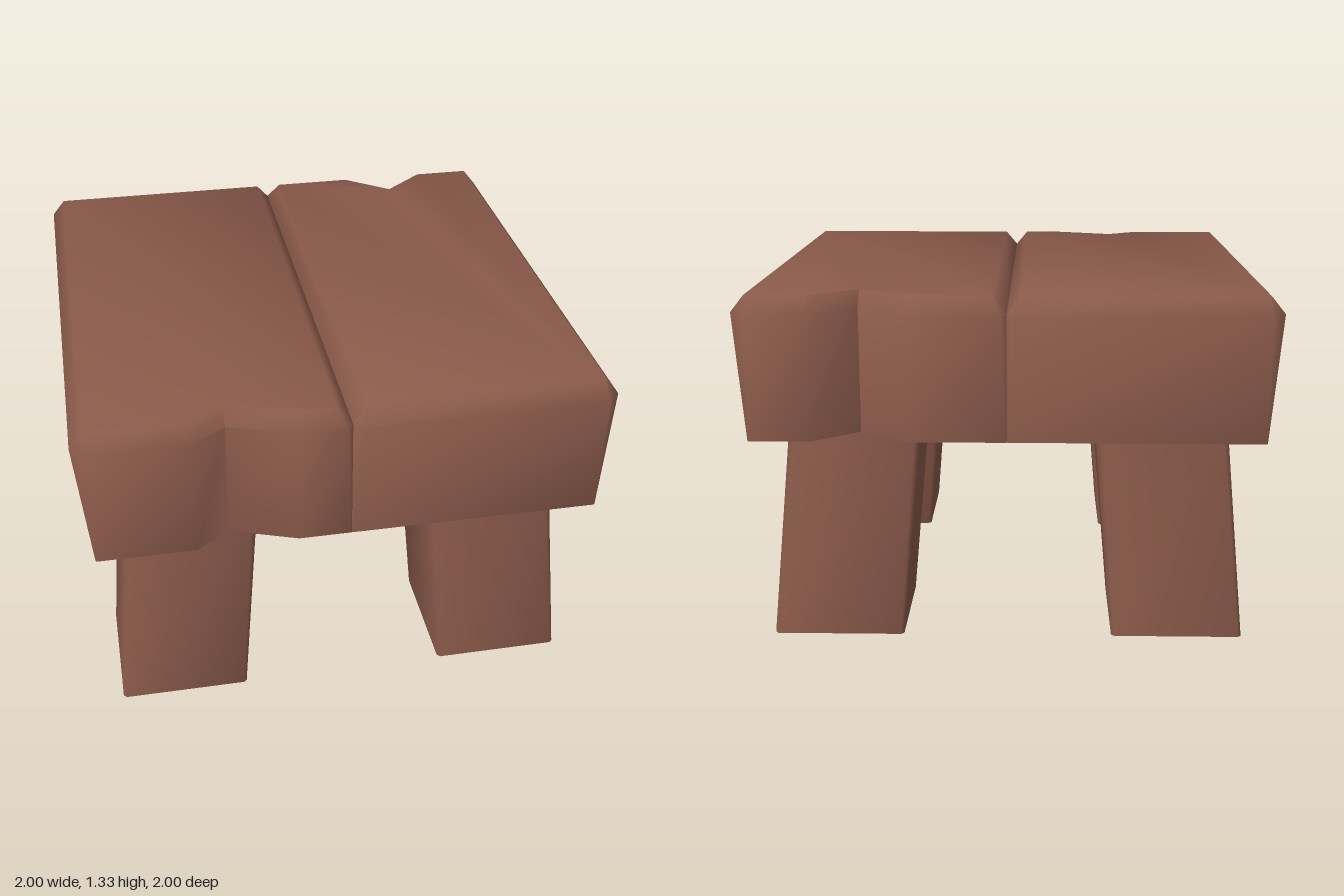
import * as THREE from 'three';
import { toCreasedNormals } from 'three/addons/utils/BufferGeometryUtils.js';

// Skin a stack of equal-length outlines ({ y, pts: [x, z] }, lowest first) and cap both ends.
function loft(levels) {
  const pos = [];
  const put = (level, i) => pos.push(level.pts[i][0], level.y, level.pts[i][1]);
  const n = levels[0].pts.length;
  for (let k = 0; k < levels.length - 1; k++) {
    const lo = levels[k], hi = levels[k + 1];
    for (let i = 0; i < n; i++) {
      const j = (i + 1) % n;
      put(lo, i); put(lo, j); put(hi, j);
      put(lo, i); put(hi, j); put(hi, i);
    }
  }
  const cap = (level, up) => {
    const contour = level.pts.map(([x, z]) => new THREE.Vector2(x, -z));
    for (const [a, b, c] of THREE.ShapeUtils.triangulateShape(contour, [])) {
      (up ? [a, b, c] : [a, c, b]).forEach((i) => put(level, i));
    }
  };
  cap(levels[0], false);
  cap(levels[levels.length - 1], true);
  const geometry = new THREE.BufferGeometry();
  geometry.setAttribute('position', new THREE.Float32BufferAttribute(pos, 3));
  return toCreasedNormals(geometry, 1.0);
}

// Plank outline with cut corners and a V notch chipped out of the back end.
function plankOutline(inner, outer, end, cutIn, cutOut, [n0, n1, n2, depth]) {
  return [
    [inner, end - cutIn], [inner + cutIn, end],
    [outer - cutOut, end], [outer, end - cutOut],
    [outer, -end + cutOut], [outer - cutOut, -end],
    [n2, -end], [n1, -end + depth], [n0, -end],
    [inner + cutIn, -end], [inner, -end + cutIn],
  ];
}

function plankGeometry(notch) {
  return loft([
    { y: 0.8, pts: plankOutline(0, 0.95, 1, 0.004, 0.004, notch) },
    { y: 1.27, pts: plankOutline(0, 1, 1, 0.025, 0.05, notch) },
    { y: 1.333, pts: plankOutline(0.05, 0.95, 0.95, 0.004, 0.004, notch) },
  ]);
}

// Square leg section with slightly eased corners.
function legOutline(cx, cz, half, cut) {
  const a = half, b = half - cut;
  return [[-a, b], [-b, a], [b, a], [a, b], [a, -b], [b, -a], [-b, -a], [-a, -b]]
    .map(([x, z]) => [cx + x, cz + z]);
}

export function createModel() {
  const model = new THREE.Group();
  model.name = 'stool';
  const wood = new THREE.MeshStandardMaterial({ color: 0x8a5a4a });
  wood.name = 'brown wood';

  const add = (name, geometry) => {
    const mesh = new THREE.Mesh(geometry, wood);
    mesh.name = name;
    model.add(mesh);
    return mesh;
  };

  // Two seat planks; the second is turned round so its notch faces the front.
  add('leftSeatPlank', plankGeometry([0.37, 0.55, 0.72, 0.14]));
  add('rightSeatPlank', plankGeometry([0.2, 0.45, 0.58, 0.09])).rotation.y = Math.PI;

  // Four legs splayed outwards.
  for (const [sx, side] of [[1, 'Left'], [-1, 'Right']]) {
    for (const [sz, end] of [[1, 'front'], [-1, 'back']]) {
      add(`${end}${side}Leg`, loft([
        { y: 0, pts: legOutline(sx * 0.65, sz * 0.65, 0.25, 0.012) },
        { y: 0.81, pts: legOutline(sx * 0.58, sz * 0.58, 0.25, 0.02) },
      ]));
    }
    // Stretcher joining the front and back leg on each side.
    const bar = add(`${side.toLowerCase()}Stretcher`, new THREE.BoxGeometry(0.26, 0.26, 0.9));
    bar.position.set(sx * 0.63, 0.4, 0);
  }
  return model;
}
